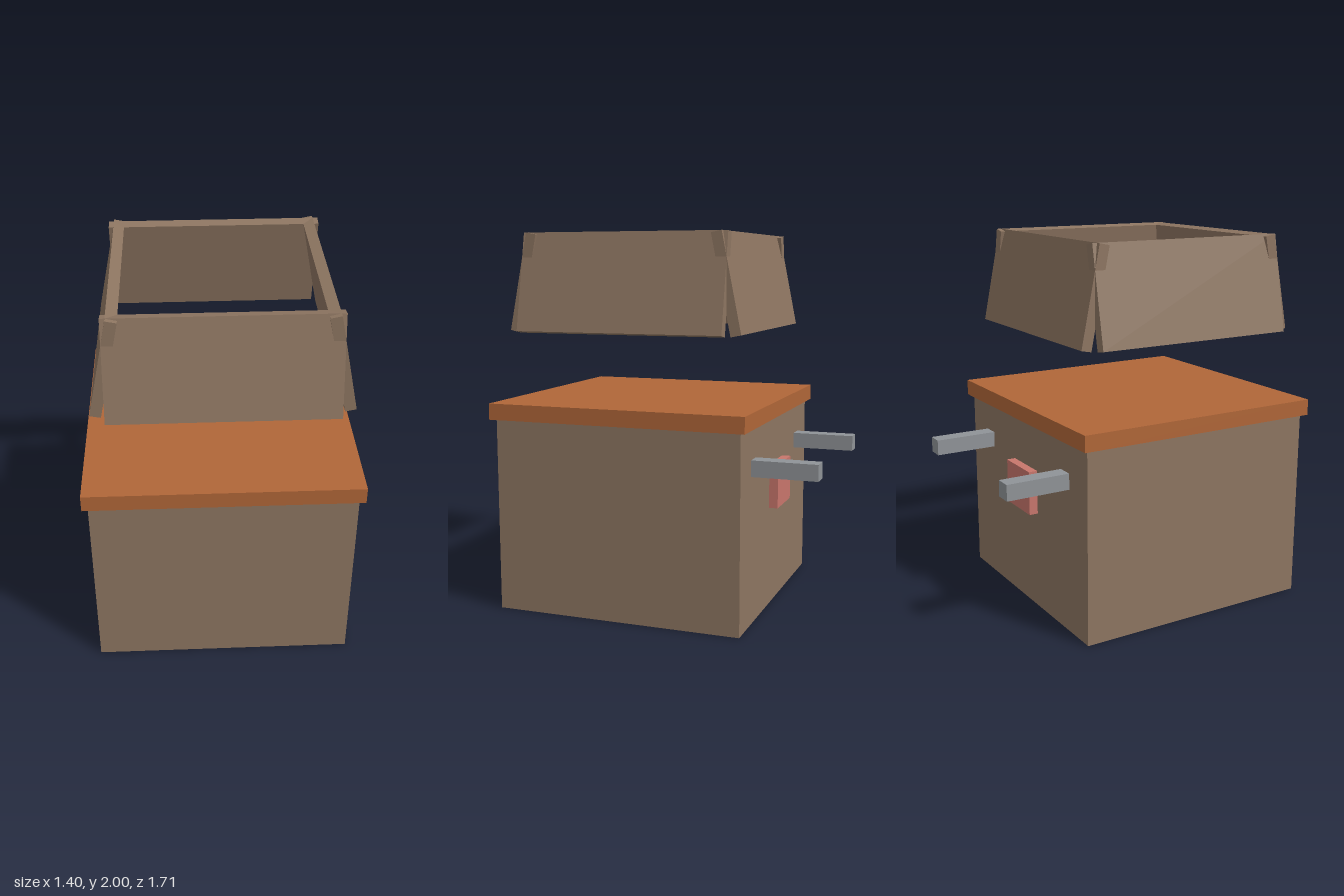
import * as THREE from 'three';

const material = (name, color) => {
  const m = new THREE.MeshStandardMaterial({ color });
  m.name = name;
  return m;
};

export function createModel() {
  const model = new THREE.Group();
  model.name = 'crate';
  const cardboard = material('cardboard brown', 0x8d7561);
  const orange = material('lid orange', 0xb06638);
  const steel = material('steel grey', 0x8f9397);
  const red = material('panel red', 0xc8766c);

  // Box given by its minimum and maximum corners
  const block = (name, mat, [x0, y0, z0], [x1, y1, z1]) => {
    const mesh = new THREE.Mesh(new THREE.BoxGeometry(x1 - x0, y1 - y0, z1 - z0), mat);
    mesh.position.set((x0 + x1) / 2, (y0 + y1) / 2, (z0 + z1) / 2);
    mesh.name = name;
    model.add(mesh);
  };

  // Body and overhanging lid
  block('body', cardboard, [-0.67, 0, -0.512], [0.67, 1.03, 0.828]);
  block('lid', orange, [-0.698, 1.03, -0.54], [0.698, 1.116, 0.856]);

  // Two prongs and a plate on the back
  block('leftProng', steel, [0.4, 0.78, -0.856], [0.488, 0.865, -0.512]);
  block('rightProng', steel, [-0.488, 0.78, -0.856], [-0.4, 0.865, -0.512]);
  block('backPlate', red, [-0.133, 0.54, -0.56], [0.133, 0.78, -0.512]);

  // Ring of four flaps floating above the lid, flaring out downwards
  const flaps = new THREE.Group();
  flaps.name = 'flapRing';
  flaps.position.set(0, 1.741, 0.158);
  ['frontFlap', 'leftFlap', 'backFlap', 'rightFlap'].forEach((name, i) => {
    const side = new THREE.Group();
    side.name = name;
    side.rotation.y = (i * Math.PI) / 2;
    const plate = new THREE.Mesh(new THREE.BoxGeometry(1.116, 0.517, 0.056), cardboard);
    plate.name = name + 'Plate';
    plate.position.z = 0.556;
    plate.rotation.x = -0.2;
    side.add(plate);
    flaps.add(side);
  });
  model.add(flaps);
  return model;
}
